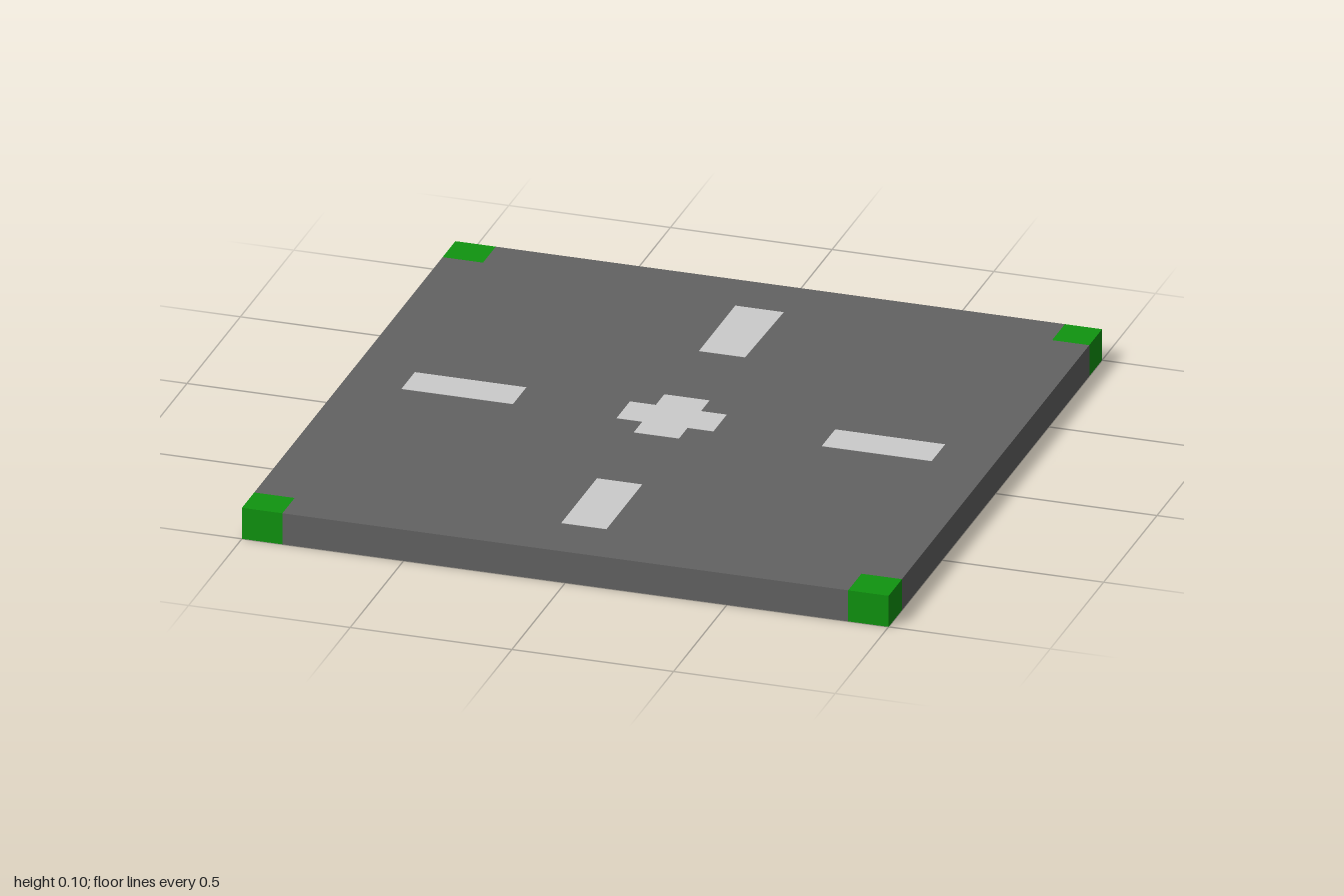
import * as THREE from 'three';

const HEIGHT = 0.1;

const material = (color) => new THREE.MeshStandardMaterial({ color, flatShading: true });

// Upright prism from an outline given as [x, z] points
function prism(name, points, bottom, height, mat) {
  const shape = new THREE.Shape(points.map(([x, z]) => new THREE.Vector2(x, -z)));
  const geometry = new THREE.ExtrudeGeometry(shape, { depth: height, bevelEnabled: false });
  geometry.rotateX(-Math.PI / 2);
  geometry.translate(0, bottom, 0);
  const mesh = new THREE.Mesh(geometry, mat);
  mesh.name = name;
  return mesh;
}

const rect = (x0, x1, z0, z1) => [[x0, z0], [x1, z0], [x1, z1], [x0, z1]];

export function createModel() {
  const group = new THREE.Group();
  group.name = 'roadTile';
  const asphalt = material(0x626262);
  const grass = material(0x109410);
  const paint = material(0xcccccc);

  // Corner patches: sign of x, sign of z, width, depth
  const corners = [
    ['backRightCorner', -1, -1, 0.125, 0.12],
    ['backLeftCorner', 1, -1, 0.115, 0.12],
    ['frontLeftCorner', 1, 1, 0.125, 0.125],
    ['frontRightCorner', -1, 1, 0.125, 0.115],
  ];

  // Road slab, notched where the corner patches sit
  const outline = [];
  for (const [name, sx, sz, w, d] of corners) {
    const x = sx * (1 - w);
    const z = sz * (1 - d);
    const notch = [[sx, z], [x, z], [x, sz]];
    outline.push(...(sx * sz > 0 ? notch : notch.reverse()));
    group.add(prism(name, rect(sx, x, sz, z), 0, HEIGHT, grass));
  }
  group.add(prism('roadSlab', outline, 0, HEIGHT, asphalt));

  // Painted lane dashes, one on each arm of the crossing
  const dashes = [
    ['backDash', [[-0.075, -0.82], [0.075, -0.82], [0.068, -0.48], [-0.075, -0.48]]],
    ['frontDash', rect(-0.075, 0.065, 0.475, 0.81)],
    ['rightDash', rect(-0.82, -0.475, -0.075, 0.05)],
    ['leftDash', rect(0.48, 0.82, -0.075, 0.05)],
  ];
  // Painted cross at the middle
  const [x0, x1, x2, x3] = [-0.155, -0.075, 0.065, 0.145];
  const [z0, z1, z2, z3] = [-0.155, -0.075, 0.05, 0.13];
  dashes.push(['centreCross', [
    [x1, z0], [x2, z0], [x2, z1], [x3, z1], [x3, z2], [x2, z2],
    [x2, z3], [x1, z3], [x1, z2], [x0, z2], [x0, z1], [x1, z1],
  ]]);
  for (const [name, points] of dashes) {
    group.add(prism(name, points, HEIGHT - 0.002, 0.003, paint));
  }
  return group;
}
